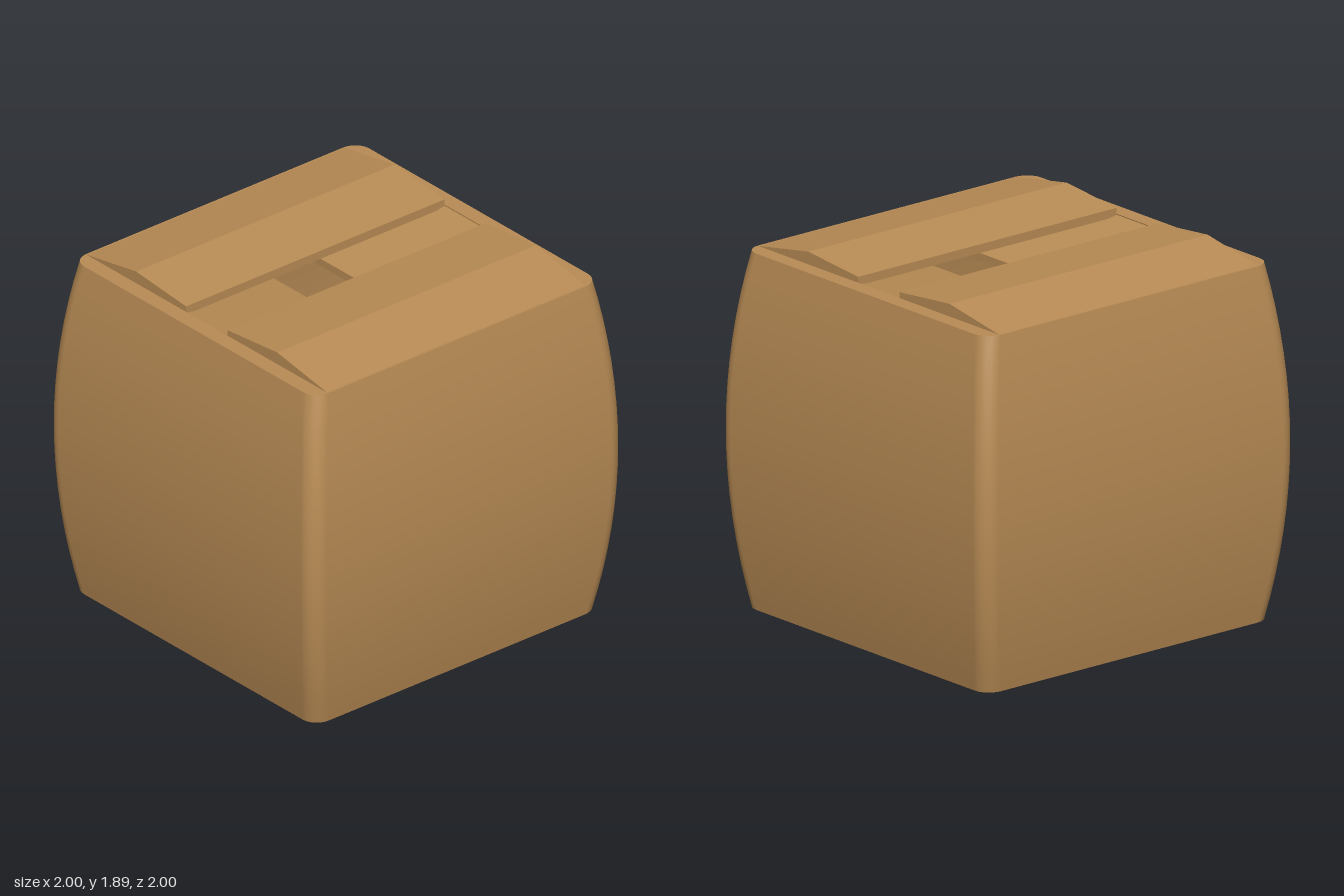
import * as THREE from 'three';

const HEIGHT = 1.825, WALL = 0.085;

// Half width of the bulging carton at height y
const halfWidth = (y) => 0.91 + 0.09 * (1 - ((y - HEIGHT / 2) / (HEIGHT / 2)) ** 2);

// Rounded square, counter-clockwise seen from +y with z pointing down the page
function roundedSquare(h, r, steps = 6) {
  const points = [];
  [[1, 1], [-1, 1], [-1, -1], [1, -1]].forEach(([sx, sz], corner) => {
    for (let i = 0; i <= steps; i++) {
      const a = (corner + i / steps) * Math.PI / 2;
      points.push([sx * (h - r) + r * Math.cos(a), sz * (h - r) + r * Math.sin(a)]);
    }
  });
  return points;
}

// Skin joining a list of rings { h, r, y }
function skin(rings) {
  const position = [], index = [];
  let n = 0;
  rings.forEach(({ h, r, y }) => {
    const loop = roundedSquare(h, r);
    n = loop.length;
    loop.forEach(([x, z]) => position.push(x, y, z));
  });
  for (let j = 0; j < rings.length - 1; j++) {
    for (let i = 0; i < n; i++) {
      const a = j * n + i, b = j * n + (i + 1) % n, c = a + n, d = b + n;
      index.push(a, c, b, b, c, d);
    }
  }
  const geometry = new THREE.BufferGeometry();
  geometry.setAttribute('position', new THREE.Float32BufferAttribute(position, 3));
  geometry.setIndex(index);
  geometry.computeVertexNormals();
  return geometry;
}

// Flat rounded square facing up or down
function panel(h, r, y, up) {
  const shape = new THREE.Shape(roundedSquare(h, r).map(([x, z]) => new THREE.Vector2(x, z)));
  const geometry = new THREE.ShapeGeometry(shape);
  geometry.rotateX(up ? -Math.PI / 2 : Math.PI / 2);
  return geometry.translate(0, y, 0);
}

// Profile of [across, y] points extruded to a length, centred
function flap(points, length) {
  const shape = new THREE.Shape(points.map(([x, y]) => new THREE.Vector2(x, y)));
  return new THREE.ExtrudeGeometry(shape, { depth: length, bevelEnabled: false })
    .translate(0, 0, -length / 2);
}

export function createModel() {
  const model = new THREE.Group();
  model.name = 'cardboardBox';
  const cardboard = new THREE.MeshStandardMaterial({ color: 0xb98c55 });
  cardboard.name = 'cardboard';
  const add = (name, geometry) => {
    const mesh = new THREE.Mesh(geometry, cardboard);
    mesh.name = name;
    model.add(mesh);
    return mesh;
  };

  // Bulging walls, outside and inside
  const outer = [], inner = [];
  const rows = 16, floor = 0.04;
  for (let i = 0; i <= rows; i++) {
    const t = i / rows, y = t * HEIGHT;
    outer.push({ h: halfWidth(y), r: 0.09, y });
    const yi = HEIGHT - t * (HEIGHT - floor);
    inner.push({ h: halfWidth(yi) - WALL, r: 0.03, y: yi });
  }
  add('outerWalls', skin(outer));
  add('innerWalls', skin(inner));

  // Flat rim, base and inside floor
  add('rim', skin([outer[rows], inner[0]]));
  add('base', panel(outer[0].h, 0.09, 0, false));
  add('floor', panel(inner[rows].h, 0.03, floor, true));

  // Folded side flaps on top, creased along the middle
  for (const s of [1, -1]) {
    const profile = [[0.9, 1.826], [0.53, 1.89], [0.155, 1.855], [0.155, 1.81], [0.82, 1.81]];
    add(s > 0 ? 'leftFlap' : 'rightFlap', flap(profile.map(([x, y]) => [s * x, y]), 1.65));
  }

  // Front and back flaps sinking into the box
  for (const s of [1, -1]) {
    const profile = [[0.83, 1.82], [0.15, 1.71], [0.15, 1.67], [0.83, 1.78]];
    const mesh = add(s > 0 ? 'frontFlap' : 'backFlap', flap(profile, 1.64));
    mesh.rotation.y = -s * Math.PI / 2;
  }
  return model;
}
